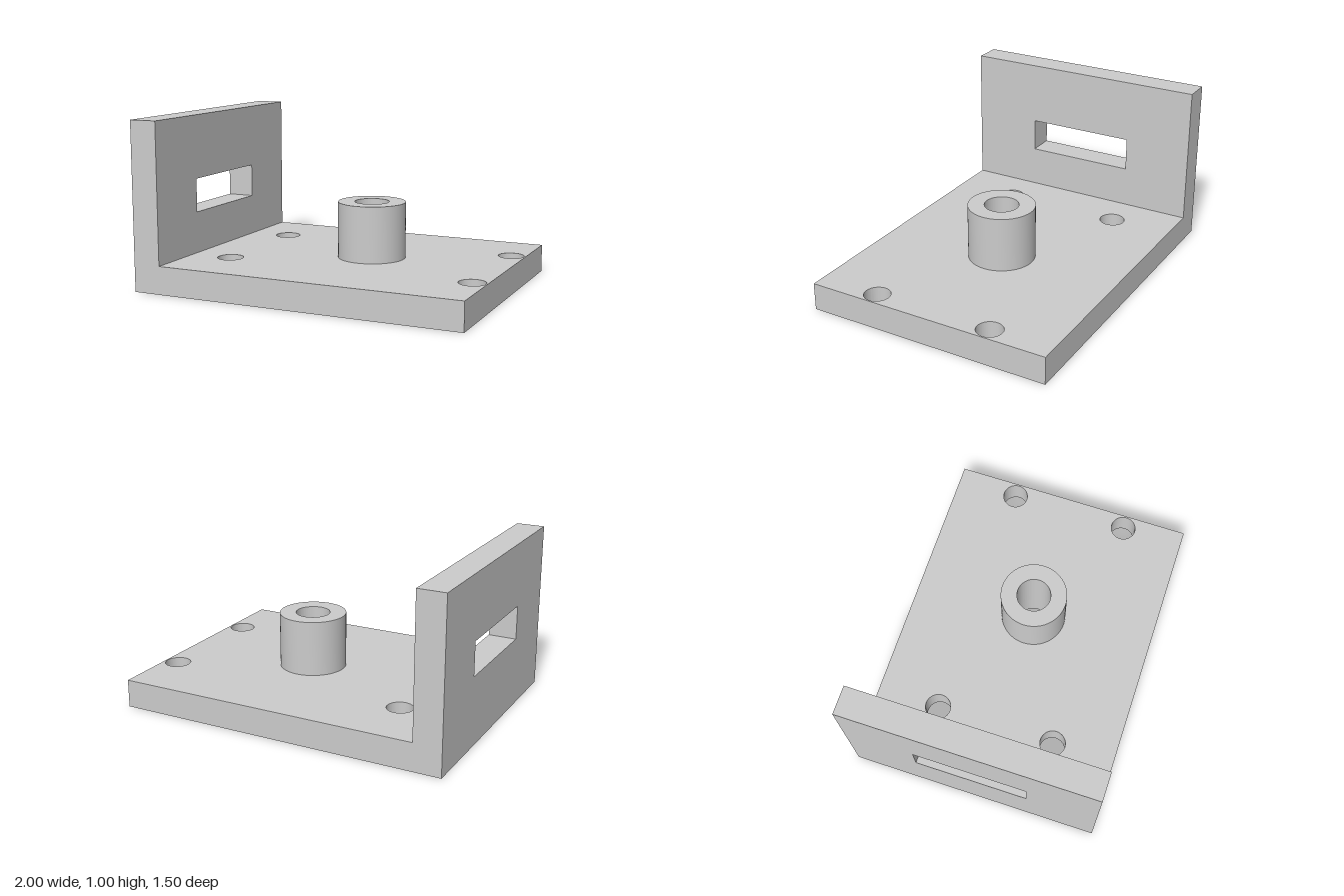
import * as THREE from 'three';
import { toCreasedNormals } from 'three/addons/utils/BufferGeometryUtils.js';

const THICK = 0.167;
const DEPTH = 1.5;
const material = new THREE.MeshStandardMaterial({ color: 0xcccccc });

function rectangle(Type, x0, y0, x1, y1) {
  return new Type().moveTo(x0, y0).lineTo(x1, y0).lineTo(x1, y1).lineTo(x0, y1).closePath();
}

function circle(Type, x, y, r) {
  return new Type().absarc(x, y, r, 0, Math.PI * 2, false);
}

// Extrudes a shape; round walls come out smooth, corners stay sharp
function extrude(shape, depth) {
  return new THREE.ExtrudeGeometry(shape, { depth, bevelEnabled: false, curveSegments: 48 });
}

function part(name, geometry) {
  const mesh = new THREE.Mesh(toCreasedNormals(geometry, Math.PI / 6), material);
  mesh.name = name;
  return mesh;
}

export function createModel() {
  const group = new THREE.Group();
  group.name = 'mountingBracket';

  const bossX = 0.167;
  const boreRadius = 0.102;

  // Base plate with four screw holes and the central bore
  const base = rectangle(THREE.Shape, -1, -DEPTH / 2, 1, DEPTH / 2);
  base.holes.push(circle(THREE.Path, bossX, 0, boreRadius));
  for (const x of [-0.586, 0.914]) {
    for (const z of [-0.367, 0.367]) base.holes.push(circle(THREE.Path, x, z, 0.077));
  }
  group.add(part('basePlate', extrude(base, THICK).rotateX(-Math.PI / 2)));

  // Upright wall with a rectangular slot
  const wall = rectangle(THREE.Shape, -DEPTH / 2, THICK, DEPTH / 2, 1);
  wall.holes.push(rectangle(THREE.Path, -0.334, 0.416, 0.334, 0.618));
  group.add(part('uprightWall', extrude(wall, THICK).rotateY(Math.PI / 2).translate(-1, 0, 0)));

  // Hollow boss standing on the base, in line with the bore
  const boss = circle(THREE.Shape, bossX, 0, 0.2);
  boss.holes.push(circle(THREE.Path, bossX, 0, boreRadius));
  group.add(part('boss', extrude(boss, 0.5 - THICK).rotateX(-Math.PI / 2).translate(0, THICK, 0)));

  return group;
}
